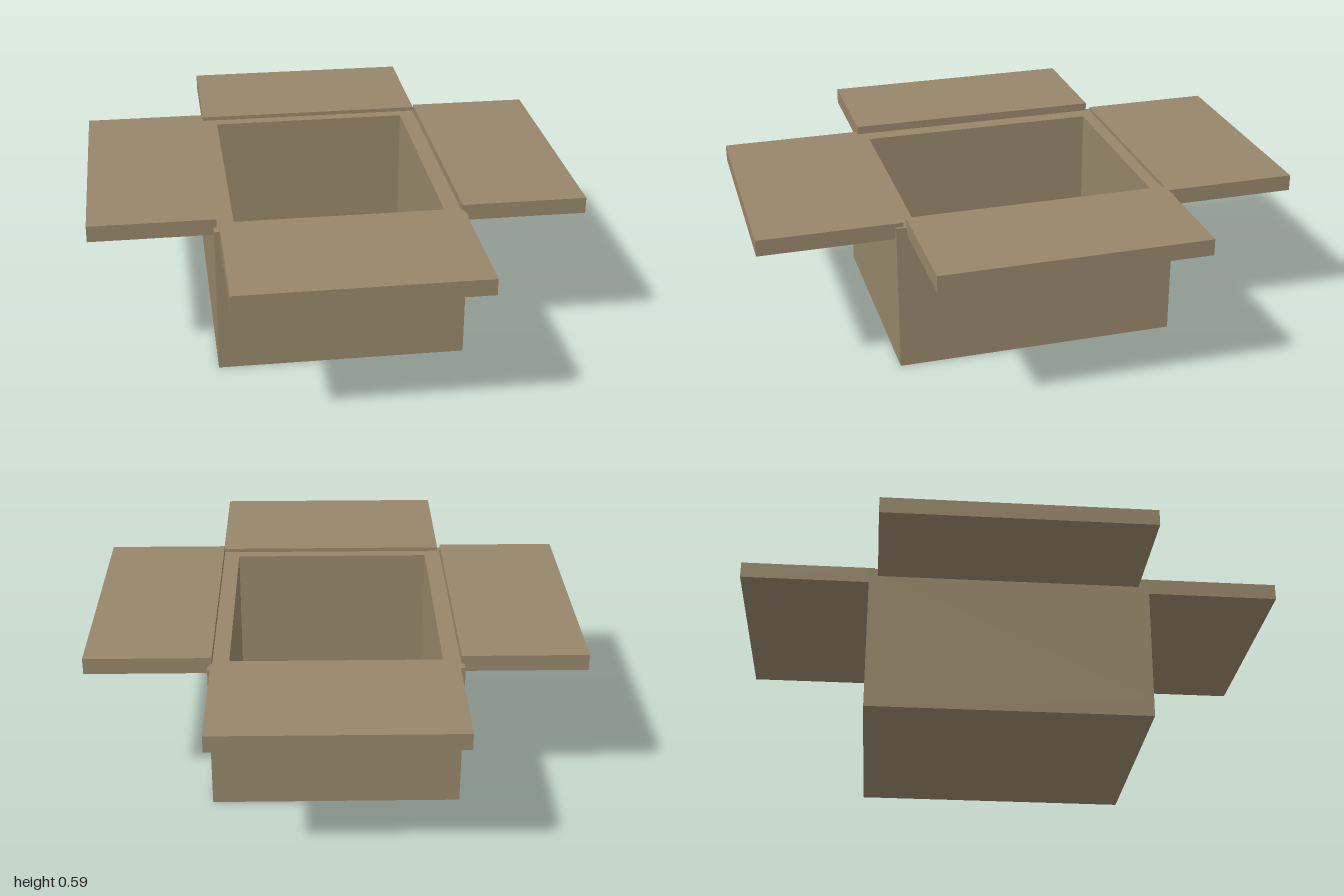
import * as THREE from 'three';

export function createModel() {
  const box = new THREE.Group();
  box.name = 'openBox';
  const cardboard = new THREE.MeshStandardMaterial({ color: 0x96866a });

  function add(name, geometry) {
    const mesh = new THREE.Mesh(geometry, cardboard);
    mesh.name = name;
    box.add(mesh);
    return mesh;
  }

  // Box spanning the given minimum and maximum corners
  function slab(name, [x0, y0, z0], [x1, y1, z1]) {
    add(name, new THREE.BoxGeometry(x1 - x0, y1 - y0, z1 - z0))
      .position.set((x0 + x1) / 2, (y0 + y1) / 2, (z0 + z1) / 2);
  }

  // Rectangle outline in plan (shape y is -z)
  const corners = (x0, x1, z0, z1) => [[x0, -z1], [x1, -z1], [x1, -z0], [x0, -z0]]
    .map(([x, y]) => new THREE.Vector2(x, y));

  const height = 0.555, floorTop = 0.065;

  // Walls: one hollow rectangular ring, resting on the floor panel
  const plan = new THREE.Shape(corners(-0.455, 0.455, -0.53, 0.512));
  plan.holes.push(new THREE.Path(corners(-0.38, 0.38, -0.464, 0.438)));
  const walls = new THREE.ExtrudeGeometry(plan, { depth: height - floorTop, bevelEnabled: false });
  walls.rotateX(-Math.PI / 2).translate(0, floorTop, 0);
  add('walls', walls);
  slab('floor', [-0.455, 0, -0.53], [0.455, floorTop, 0.512]);

  // Flaps folded out flat; the side pair sits slightly higher
  slab('frontFlap', [-0.435, 0.51, 0.482], [0.443, 0.57, 1]);
  slab('backFlap', [-0.435, 0.51, -1], [0.443, 0.57, -0.51]);
  slab('leftFlap', [0.44, 0.526, -0.497], [0.895, 0.586, 0.473]);
  slab('rightFlap', [-0.897, 0.526, -0.497], [-0.443, 0.586, 0.473]);

  return box;
}
